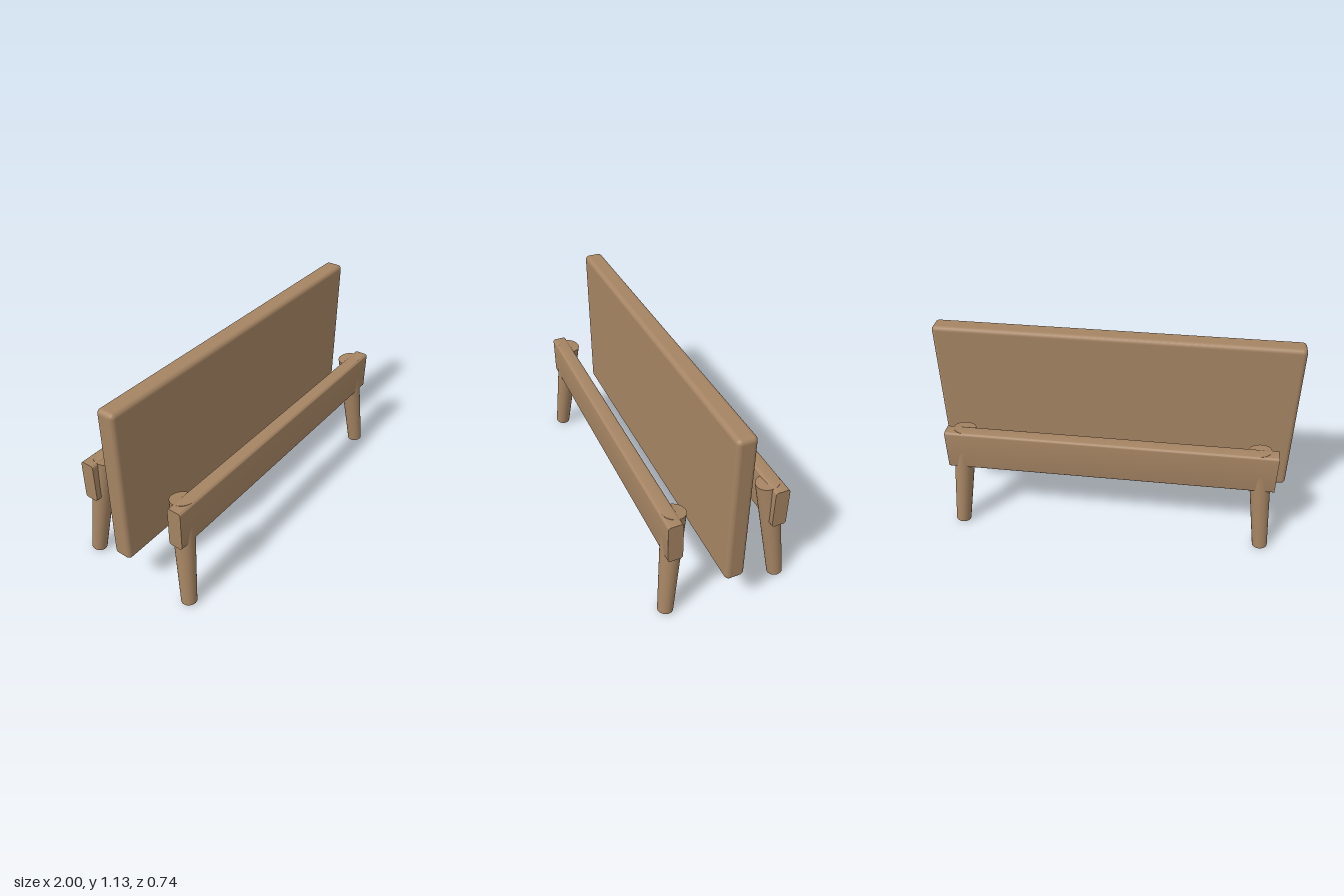
import * as THREE from 'three';
import { toCreasedNormals } from 'three/addons/utils/BufferGeometryUtils.js';
import { RoundedBoxGeometry } from 'three/addons/geometries/RoundedBoxGeometry.js';

const wood = new THREE.MeshStandardMaterial({ color: 0xa58463 });
wood.name = 'wood';

// Rounded rectangle centred on the origin
function roundedRect(w, h, r) {
  const s = new THREE.Shape();
  const x = w / 2, y = h / 2;
  s.moveTo(-x + r, -y);
  s.lineTo(x - r, -y);
  s.absarc(x - r, -y + r, r, -Math.PI / 2, 0);
  s.lineTo(x, y - r);
  s.absarc(x - r, y - r, r, 0, Math.PI / 2);
  s.lineTo(-x + r, y);
  s.absarc(-x + r, y - r, r, Math.PI / 2, Math.PI);
  s.lineTo(-x, -y + r);
  s.absarc(-x + r, -y + r, r, Math.PI, Math.PI * 1.5);
  return s;
}

function add(parent, name, geometry) {
  const mesh = new THREE.Mesh(geometry, wood);
  mesh.name = name;
  parent.add(mesh);
  return mesh;
}

// Tapered leg running between two points
function addLeg(parent, name, bottom, top) {
  const axis = top.clone().sub(bottom);
  const leg = add(parent, name, new THREE.CylinderGeometry(0.063, 0.042, axis.length(), 32));
  leg.position.copy(bottom).add(top).multiplyScalar(0.5);
  leg.quaternion.setFromUnitVectors(new THREE.Vector3(0, 1, 0), axis.normalize());
}

export function createModel() {
  const model = new THREE.Group();
  model.name = 'bench';

  // Upright panel, rounded on every edge
  const panel = add(model, 'panel', new RoundedBoxGeometry(2, 0.905, 0.106, 5, 0.025));
  panel.position.y = 0.682;

  // Rail profile swept along x, with square-cut ends
  const railLength = 1.81;
  const railGeometry = toCreasedNormals(
    new THREE.ExtrudeGeometry(roundedRect(0.081, 0.235, 0.015), {
      depth: railLength, bevelEnabled: false, curveSegments: 5,
    }).translate(0, 0, -railLength / 2).rotateY(Math.PI / 2), 0.6);

  // Front and back supports: one rail and two splayed legs each
  for (const [side, sz] of [['front', 1], ['back', -1]]) {
    const support = new THREE.Group();
    support.name = side + 'Support';
    model.add(support);
    add(support, side + 'Rail', railGeometry).position.set(0, 0.518, sz * 0.2905);
    for (const [hand, sx] of [['Left', 1], ['Right', -1]]) {
      addLeg(support, side + hand + 'Leg',
        new THREE.Vector3(sx * 0.872, 0.007, sz * 0.328),
        new THREE.Vector3(sx * 0.806, 0.628, sz * 0.258));
    }
  }
  return model;
}
